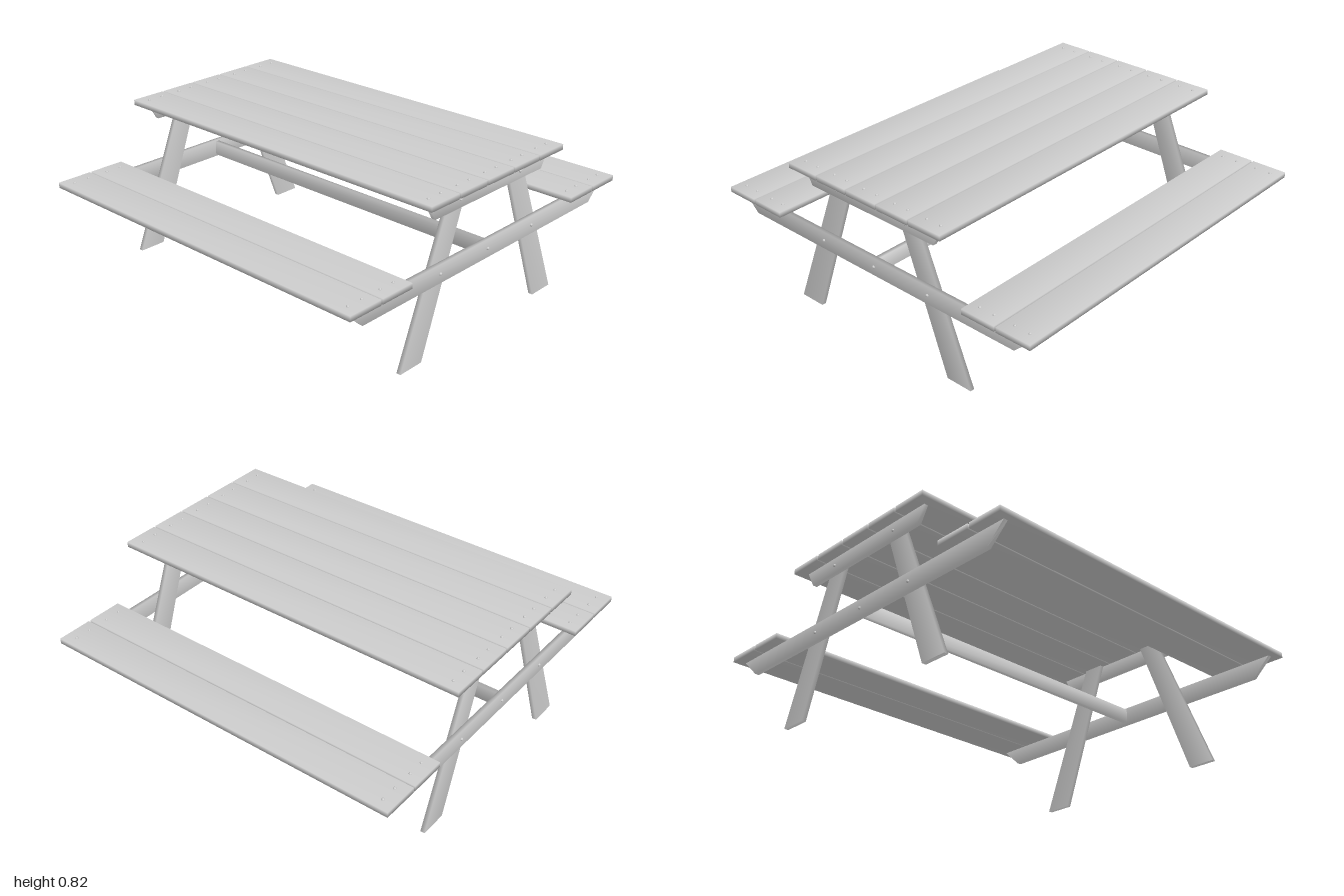
import * as THREE from 'three';
import { mergeVertices } from 'three/addons/utils/BufferGeometryUtils.js';

const material = new THREE.MeshStandardMaterial({ color: 0xcccccc });

// Timber cut from a [z, y] outline, running from x0 to x1, with welded soft normals
function timber(name, outline, x0, x1) {
  const shape = new THREE.Shape(outline.map(([z, y]) => new THREE.Vector2(z, y)));
  let geo = new THREE.ExtrudeGeometry(shape, { depth: x1 - x0, bevelEnabled: false });
  geo.rotateY(-Math.PI / 2).translate(x1, 0, 0);
  geo.deleteAttribute('normal');
  geo.deleteAttribute('uv');
  geo = mergeVertices(geo, 1e-4);
  geo.computeVertexNormals();
  const mesh = new THREE.Mesh(geo, material);
  mesh.name = name;
  return mesh;
}

const rect = (z, halfWidth, y0, y1) => [
  [z - halfWidth, y0], [z + halfWidth, y0], [z + halfWidth, y1], [z - halfWidth, y1],
];

// Small domed bolt head; axis is up, or outward along x when side is given
const headGeo = new THREE.SphereGeometry(0.008, 10, 4, 0, Math.PI * 2, 0, Math.PI / 2);
function bolt(x, y, z, side = 0) {
  const mesh = new THREE.Mesh(headGeo, material);
  mesh.name = 'boltHead';
  mesh.position.set(x, y, z);
  mesh.rotation.z = -side * Math.PI / 2;
  return mesh;
}

// Full-length board with two bolts at each end
function plank(name, z, y0, y1) {
  const group = new THREE.Group();
  group.name = name;
  group.add(timber('board', rect(z, 0.095, y0, y1), -1, 1));
  for (const x of [-0.938, 0.938])
    for (const dz of [-0.042, 0.042]) group.add(bolt(x, y1 - 0.001, z + dz));
  return group;
}

// One end: legs inside, table and seat bearers outside
function endFrame(side) {
  const group = new THREE.Group();
  group.name = side > 0 ? 'leftEndFrame' : 'rightEndFrame';
  const inner = 0.902, joint = 0.925, outer = 0.947;
  const span = (a, b) => (side > 0 ? [a, b] : [-b, -a]);

  for (const s of [-1, 1]) {
    const outline = [[0.44, 0], [0.585, 0], [0.263, 0.787], [0.15, 0.787]];
    group.add(timber(s > 0 ? 'frontLeg' : 'backLeg', outline.map(([z, y]) => [s * z, y]), ...span(inner, joint)));
  }
  group.add(timber('tableBearer',
    [[-0.4, 0.705], [0.4, 0.705], [0.447, 0.787], [-0.447, 0.787]], ...span(joint, outer)));
  group.add(timber('seatBearer',
    [[-0.865, 0.378], [0.865, 0.378], [0.967, 0.472], [-0.967, 0.472]], ...span(joint, outer)));

  for (const z of [-0.225, 0.225]) group.add(bolt(side * outer, 0.745, z, side));
  for (const z of [-0.35, 0, 0.35]) group.add(bolt(side * outer, 0.425, z, side));
  return group;
}

export function createModel() {
  const model = new THREE.Group();
  model.name = 'picnicTable';

  // Table top
  for (let i = -2; i <= 2; i++) model.add(plank('tablePlank', i * 0.2, 0.787, 0.815));

  // Benches
  for (const s of [-1, 1])
    for (const z of [0.705, 0.905]) model.add(plank(s > 0 ? 'frontSeatPlank' : 'backSeatPlank', s * z, 0.472, 0.5));

  // End frames and the stretcher joining them
  model.add(endFrame(1), endFrame(-1));
  model.add(timber('stretcher', rect(0, 0.012, 0.388, 0.464), -0.925, 0.925));
  return model;
}
